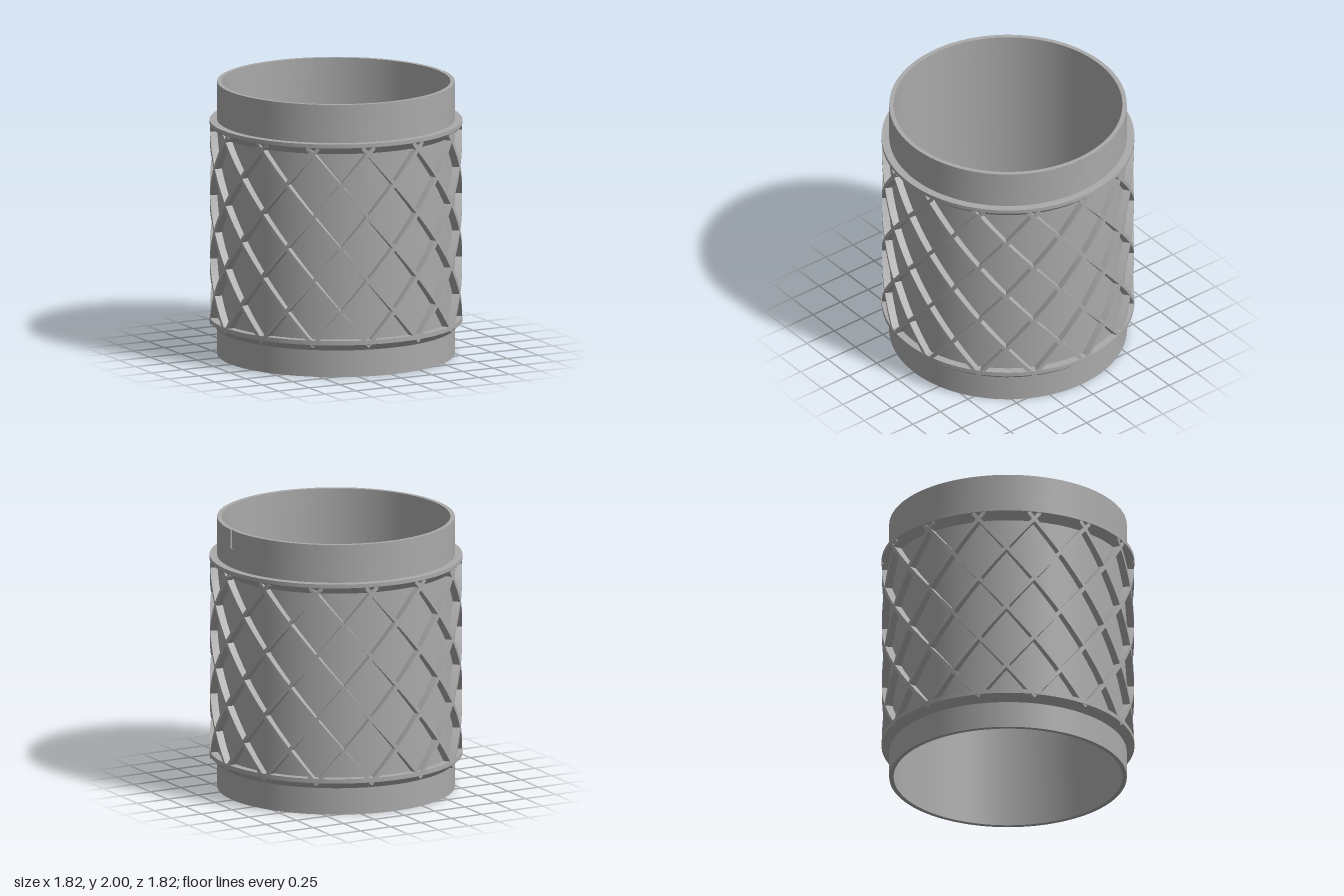
import * as THREE from 'three';
import { toCreasedNormals } from 'three/addons/utils/BufferGeometryUtils.js';

const SEGMENTS = 120;
const INNER = 0.823, WALL = 0.855, OUTER = 0.91; // radii
const COUNT = 14;                                // ribs in each direction
const STEP = Math.PI / COUNT;                    // angle between neighbouring crossings
const RISE = 0.2335;                             // height between neighbouring crossings
const RIB_BOTTOM = 0.238, RIB_STEPS = 6.24;
const RIB_HALF = 0.021;                          // half height of a rib cut vertically

const grey = new THREE.MeshStandardMaterial({ color: 0xaaaaaa });
grey.name = 'plain grey';

function part(name, geometry, parent) {
  const mesh = new THREE.Mesh(toCreasedNormals(geometry, 0.5), grey);
  mesh.name = name;
  parent.add(mesh);
  return mesh;
}

// Closed ring turned from a counterclockwise [radius, height] profile
function ring(profile) {
  const points = [...profile, profile[0]].map(([r, y]) => new THREE.Vector2(r, y));
  return new THREE.LatheGeometry(points, SEGMENTS);
}

// Helical bar with a four-cornered section, climbing to the left or right
function helicalRib(direction) {
  const sections = 40, positions = [], index = [];
  const corners = [[WALL - 0.01, -1], [OUTER - 0.002, -1], [OUTER - 0.002, 1], [WALL - 0.01, 1]];
  const triangle = (a, b, c) => index.push(...(direction > 0 ? [a, b, c] : [a, c, b]));
  for (let s = 0; s <= sections; s++) {
    const t = (s / sections) * RIB_STEPS;
    const angle = direction * t * STEP;
    for (const [r, side] of corners) {
      positions.push(r * Math.sin(angle), RIB_BOTTOM + t * RISE + side * RIB_HALF, r * Math.cos(angle));
    }
    if (s === sections) break;
    for (let i = 0; i < 4; i++) {
      const a = s * 4 + i, b = s * 4 + (i + 1) % 4;
      triangle(a, b + 4, b);
      triangle(a, a + 4, b + 4);
    }
  }
  const e = sections * 4;
  triangle(0, 1, 2);
  triangle(0, 2, 3);
  triangle(e, e + 2, e + 1);
  triangle(e, e + 3, e + 2);
  const geometry = new THREE.BufferGeometry();
  geometry.setAttribute('position', new THREE.Float32BufferAttribute(positions, 3));
  geometry.setIndex(index);
  return geometry;
}

export function createModel() {
  const model = new THREE.Group();
  model.name = 'latticeSleeve';

  // Main tube up to the foot of the notch
  const notchBottom = 1.86;
  part('tube', ring([[INNER, 0], [WALL, 0], [WALL, notchBottom], [INNER, notchBottom]]), model);

  // Rim with a shallow notch in its outer face on the +x side
  const half = 0.026, floor = 0.845, a = Math.asin(half / WALL);
  const shape = new THREE.Shape();
  shape.moveTo(floor, half);
  shape.absarc(0, 0, WALL, a, Math.PI * 2 - a, false);
  shape.lineTo(floor, -half);
  shape.closePath();
  const bore = new THREE.Path();
  bore.absarc(0, 0, INNER, 0, Math.PI * 2, true);
  shape.holes.push(bore);
  const rim = new THREE.ExtrudeGeometry(shape, {
    depth: 2 - notchBottom, bevelEnabled: false, curveSegments: SEGMENTS,
  });
  rim.rotateX(-Math.PI / 2);
  rim.translate(0, notchBottom, 0);
  part('notchedRim', rim, model);

  // Flanges with a sloped underside
  const inside = WALL - 0.01;
  part('lowerFlange', ring([[inside, 0.196], [WALL, 0.196], [OUTER, 0.244], [OUTER, 0.276], [inside, 0.276]]), model);
  part('upperFlange', ring([[inside, 1.639], [WALL, 1.639], [OUTER, 1.692], [OUTER, 1.72], [inside, 1.72]]), model);

  // Diamond lattice of crossing ribs
  const lattice = new THREE.Group();
  lattice.name = 'lattice';
  model.add(lattice);
  for (const direction of [1, -1]) {
    const first = part('rib', helicalRib(direction), lattice);
    for (let i = 0; i < COUNT; i++) {
      const rib = i === 0 ? first : first.clone();
      rib.rotation.y = (2 * i + 1) * STEP;
      lattice.add(rib);
    }
  }
  return model;
}
